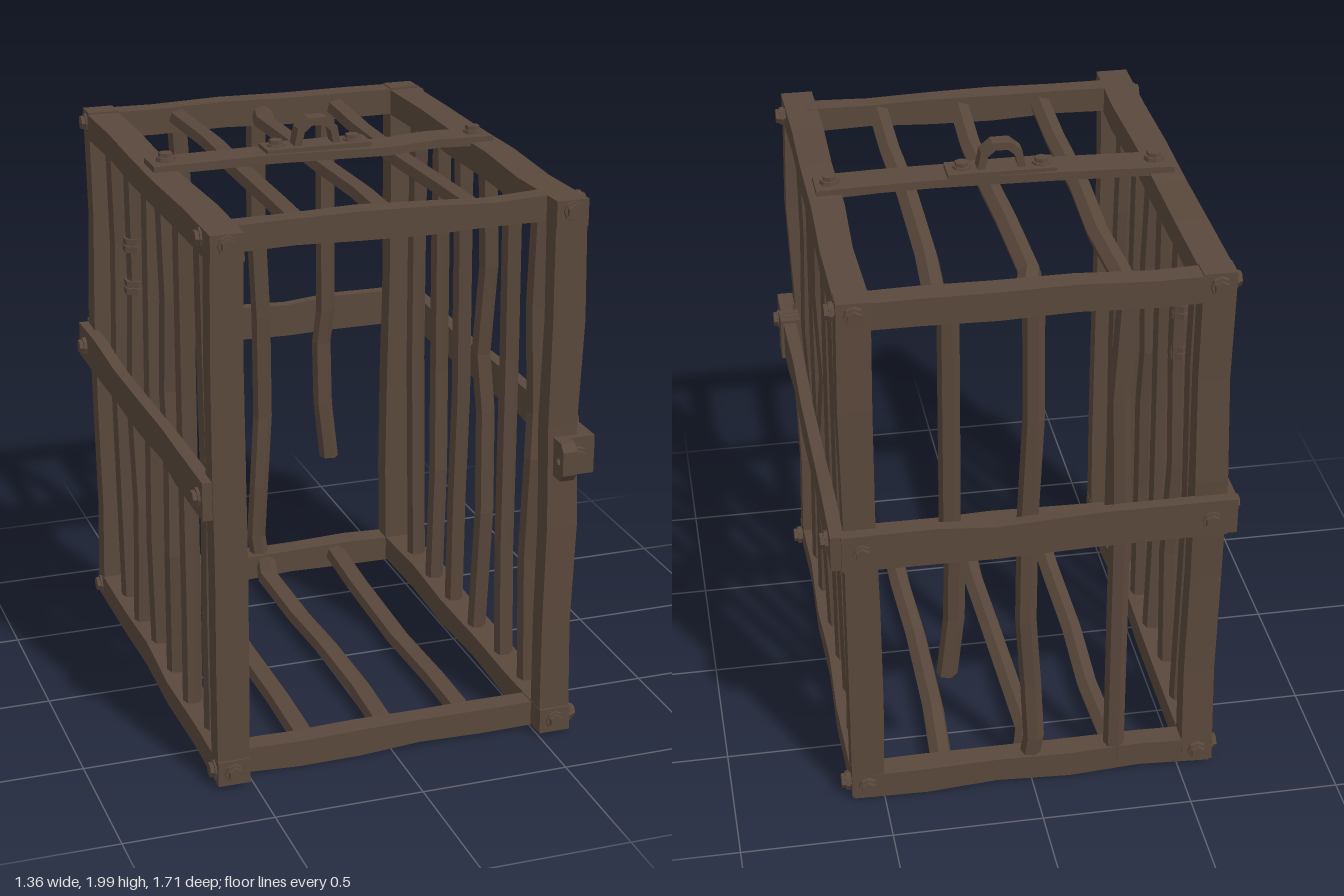
import * as THREE from 'three';

const wood = new THREE.MeshStandardMaterial({ color: 0x5a483c });
wood.name = 'dark brown';

// small seeded generator for hand-hewn irregularity
let seed = 7;
const rand = () => ((seed = (seed * 16807) % 2147483647) / 2147483647) * 2 - 1;

const RECT = [[-1, -1], [1, -1], [1, 1], [-1, 1]];
const HEX = [0, 1, 2, 3, 4, 5].map(i => [Math.cos(i * Math.PI / 3 + 0.3), Math.sin(i * Math.PI / 3 + 0.3)]);

export function createModel() {
  const root = new THREE.Group();
  root.name = 'cage';

  function add(name, geo, x = 0, y = 0, z = 0) {
    const flat = geo.index ? geo.toNonIndexed() : geo;
    flat.computeVertexNormals();
    const mesh = new THREE.Mesh(flat, wood);
    mesh.name = name;
    mesh.position.set(x, y, z);
    root.add(mesh);
    return mesh;
  }

  // Beam along axis (0 x, 1 y, 2 z) through rings [t, u, v, halfU, halfV], t ascending;
  // u and v are the next two axes in cyclic order
  function beam(name, axis, profile, rings) {
    const pos = [], idx = [], n = profile.length, last = (rings.length - 1) * n;
    for (const [t, u, v, hu, hv] of rings)
      for (const [a, b] of profile) {
        const p = [0, 0, 0];
        p[axis] = t;
        p[(axis + 1) % 3] = u + a * hu;
        p[(axis + 2) % 3] = v + b * hv;
        pos.push(...p);
      }
    for (let k = 0; k < last; k += n)
      for (let i = 0; i < n; i++) {
        const j = (i + 1) % n;
        idx.push(k + i, k + j, k + n + j, k + i, k + n + j, k + n + i);
      }
    for (let i = 1; i < n - 1; i++) idx.push(0, i + 1, i, last, last + i, last + i + 1);
    const geo = new THREE.BufferGeometry();
    geo.setAttribute('position', new THREE.Float32BufferAttribute(pos, 3));
    geo.setIndex(idx);
    return add(name, geo);
  }

  // Rectangular timber from a to b with slightly uneven middle sections
  function timber(name, axis, a, b, u, v, hu, hv, wobble = 0.006, n = 5) {
    const rings = [];
    for (let i = 0; i <= n; i++) {
      const w = i % n ? wobble : 0;
      rings.push([a + (b - a) * i / n, u + rand() * w, v + rand() * w, hu + rand() * w * 0.6, hv + rand() * w * 0.6]);
    }
    return beam(name, axis, RECT, rings);
  }

  function box(name, w, h, d, x, y, z) { return add(name, new THREE.BoxGeometry(w, h, d), x, y, z); }

  // Bolt head pointing along an axis, seated on a thin washer
  function bolt(axis, x, y, z) {
    for (const [r, len, sides] of [[0.034, 0.014, 8], [0.026, 0.04, 6]]) {
      const geo = new THREE.CylinderGeometry(r * 0.92, r, len, sides);
      if (axis === 0) geo.rotateZ(x > 0 ? -Math.PI / 2 : Math.PI / 2);
      if (axis === 2) geo.rotateX(z > 0 ? Math.PI / 2 : -Math.PI / 2);
      add('bolt', geo, x, y, z);
    }
  }

  // side frames: posts, rails and six bent bars each
  const sideBars = [
    [[0.05, 0.53], [0.55, 0.52], [0.92, 0.54], [1.08, 0.53], [1.45, 0.52], [1.83, 0.535]],
    [[0.05, 0.32], [0.5, 0.312], [1.2, 0.312], [1.83, 0.315]],
    [[0.05, 0.085], [0.55, 0.112], [0.92, 0.095], [1.13, 0.075], [1.45, 0.097], [1.83, 0.085]],
    [[0.05, -0.13], [0.5, -0.125], [0.9, -0.118], [1.83, -0.118]],
    [[0.05, -0.33], [0.55, -0.312], [0.92, -0.335], [1.4, -0.34], [1.83, -0.335]],
    [[0.05, -0.55], [0.9, -0.552], [1.45, -0.567], [1.83, -0.55]],
  ];
  for (const s of [-1, 1]) {
    const x = s > 0 ? 0.555 : -0.567;
    timber('frontPost', 1, 0.06, 1.82, 0.735, x, 0.037, 0.053);
    timber('backPost', 1, 0.015, 1.88, -0.76, x, 0.04, 0.053);
    timber('sideTopRail', 2, -0.73, 0.78, x, 1.828, 0.054, 0.045);
    timber('sideBottomRail', 2, -0.73, 0.78, x, 0.06, 0.054, 0.043);
    for (const path of sideBars)
      beam('sideBar', 1, HEX, path.map(([y, z]) => [y, z, x + rand() * 0.008, 0.033, 0.033]));
    for (const y of [0.06, 1.838]) {
      bolt(2, x, y, 0.78);
      bolt(0, s * 0.62, y, y > 1 ? 0.67 : 0.735);
      bolt(0, s * 0.62, y, -0.76);
      bolt(2, x, y, -0.805);
    }
    // waist band on the side
    beam('sideBand', 2, RECT, [
      [-0.83, s * 0.632, 1.015, 0.022, 0.062], [-0.6, s * 0.63, 1.015, 0.022, 0.064],
      [-0.33, s * 0.63, 1.007, 0.02, 0.056], [0, s * 0.634, 1.015, 0.02, 0.06],
      [0.28, s * 0.63, 1.022, 0.02, 0.055], [0.45, s * 0.632, 1.015, 0.022, 0.064],
      [0.77, s * 0.634, 1.015, 0.022, 0.064]]);
    bolt(0, s * 0.658, 1.015, 0.722);
    bolt(0, s * 0.658, 1.015, -0.745);
    bolt(2, x, 1.015, -0.84);
  }

  // cross rails at front and back
  for (const y of [0.055, 1.83]) {
    timber('frontRail', 0, -0.54, 0.53, y, 0.667, 0.043, 0.036, 0.008);
    timber('backRail', 0, -0.61, 0.6, y, -0.76, 0.045, 0.04, 0.006);
  }

  // back bars, one of them broken off
  const backBars = [
    [[0.05, -0.285], [0.95, -0.285], [1.15, -0.28], [1.45, -0.27], [1.6, -0.28], [1.83, -0.292]],
    [[0.05, 0.005], [0.17, -0.01], [0.38, 0], [0.65, 0.02], [1.05, 0.015], [1.4, 0], [1.83, 0.002]],
    [[0.46, 0.28], [0.68, 0.255], [0.92, 0.252], [1.05, 0.265], [1.83, 0.265]],
  ];
  for (const path of backBars)
    beam('backBar', 1, HEX, path.map(([y, x]) => [y, -0.76 + rand() * 0.006, x, 0.033, 0.035]));
  beam('backBand', 0, RECT, [
    [-0.62, 1.022, -0.82, 0.064, 0.022], [-0.2, 1.018, -0.818, 0.064, 0.02],
    [0.13, 1.006, -0.82, 0.06, 0.02], [0.32, 1.016, -0.822, 0.066, 0.02], [0.62, 1.015, -0.82, 0.064, 0.022]]);

  // roof and floor bars
  const deckBars = [
    [[-0.74, -0.29], [-0.38, -0.275], [-0.06, -0.285], [0.34, -0.28], [0.66, -0.285]],
    [[-0.74, 0.02], [-0.6, -0.015], [-0.25, -0.007], [0.02, 0.003], [0.34, 0.012], [0.66, 0]],
    [[-0.74, 0.297], [-0.43, 0.28], [0.02, 0.275], [0.34, 0.285], [0.66, 0.283]],
  ];
  for (const y of [0.06, 1.828])
    for (const path of deckBars)
      beam(y > 1 ? 'roofBar' : 'floorBar', 2, HEX, path.map(([z, x]) => [z, x, y + rand() * 0.006, 0.039, 0.033]));

  // roof band with hanging loop
  beam('roofBand', 0, RECT, [
    [-0.595, 1.876, -0.003, 0.014, 0.063], [-0.2, 1.882, 0.005, 0.015, 0.06],
    [0.2, 1.878, 0.022, 0.014, 0.059], [0.38, 1.884, 0.005, 0.014, 0.06], [0.58, 1.878, 0.002, 0.016, 0.06]]);
  bolt(1, -0.54, 1.9, 0);
  bolt(1, 0.53, 1.9, 0);
  box('loopPlate', 0.36, 0.02, 0.1, -0.03, 1.9, 0.005);
  bolt(1, -0.165, 1.91, 0);
  bolt(1, 0.097, 1.91, 0.01);
  const poly = pts => pts.map(([a, b]) => new THREE.Vector2(a, b));
  const arch = new THREE.Shape(poly([[-0.08, 0], [-0.055, 0], [-0.045, 0.045], [-0.02, 0.066], [0.02, 0.066],
    [0.045, 0.045], [0.055, 0], [0.08, 0], [0.068, 0.06], [0.03, 0.092], [-0.03, 0.092], [-0.068, 0.06]]));
  add('hangingLoop', new THREE.ExtrudeGeometry(arch, { depth: 0.054, bevelEnabled: false }), -0.03, 1.908, -0.022);

  // latch: folded band end, and tongue with a lock hole
  box('latchPlate', 0.09, 0.13, 0.09, 0.61, 1.015, 0.745);
  bolt(2, 0.597, 1.015, 0.795);
  const tongue = new THREE.Shape(poly([[0.7, -0.065], [0.83, -0.065], [0.85, -0.04], [0.85, 0.04], [0.83, 0.065], [0.7, 0.065]]));
  tongue.holes.push(new THREE.Path().absarc(0.815, 0, 0.013, 0, Math.PI * 2, true));
  const tongueGeo = new THREE.ExtrudeGeometry(tongue, { depth: 0.048, bevelEnabled: false, curveSegments: 4 });
  add('latchTongue', tongueGeo.rotateY(-Math.PI / 2), 0.568, 1.015, 0);

  // rope lashings on a band and on a mended bar
  for (const z of [0.575, 0.603, 0.631]) box('bandLashing', 0.07, 0.15, 0.025, 0.63, 1.015, z);
  for (const [y, r] of [[1.525, 0.038], [1.5, 0.04], [1.375, 0.038], [1.35, 0.04]])
    add('barLashing', new THREE.CylinderGeometry(r, r, 0.022, 6), -0.567, y, -0.338);

  return root;
}
